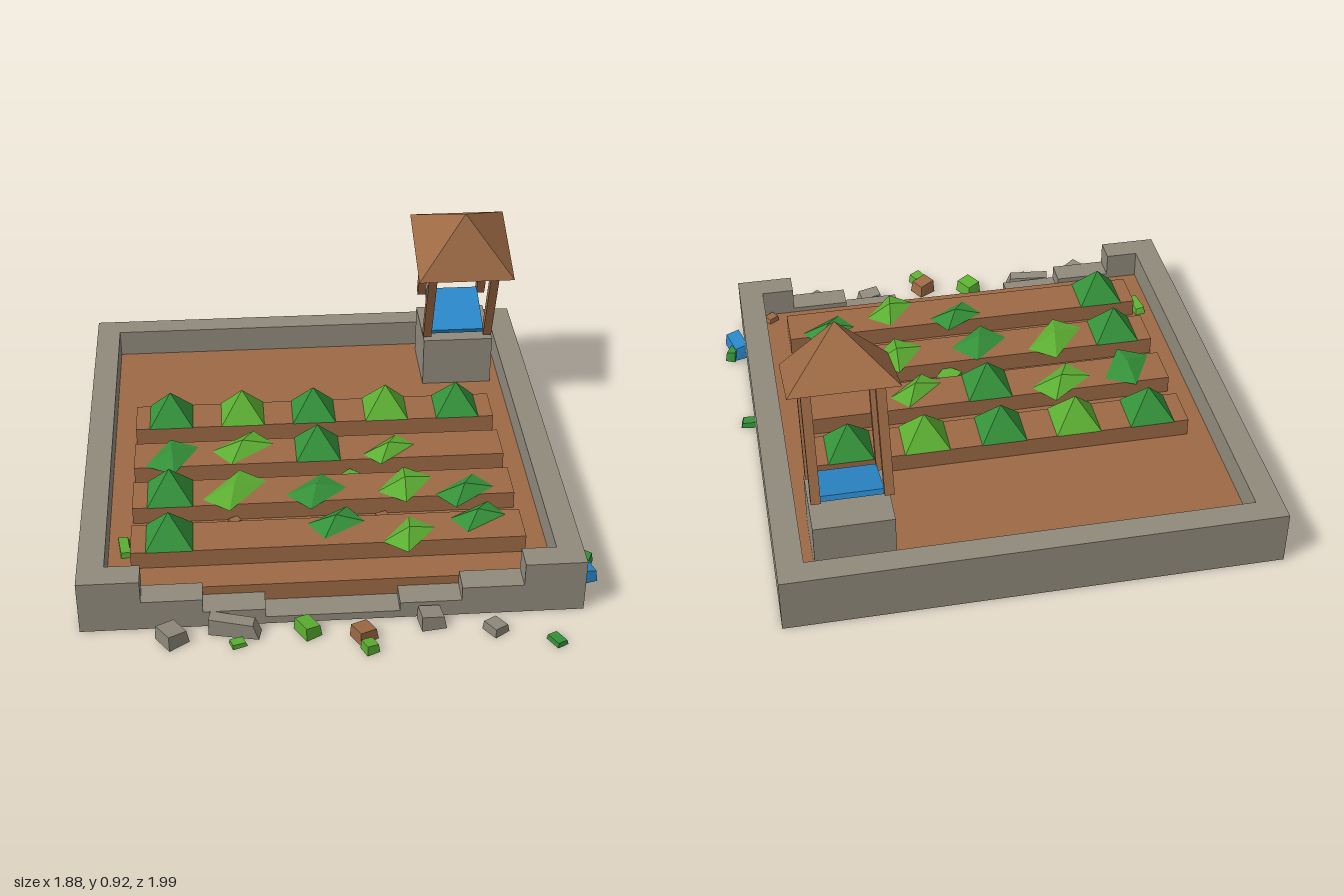
import * as THREE from 'three';

const mat = (name, color) => {
  const m = new THREE.MeshStandardMaterial({ color });
  m.name = name;
  return m;
};

export function createModel() {
  const stone = mat('stone', 0x908a7c);
  const brown = mat('earth brown', 0x9d6a45);
  const dark = mat('dark green', 0x35923a);
  const light = mat('light green', 0x5db033);
  const blue = mat('water blue', 0x2a87c8);
  const model = new THREE.Group();
  model.name = 'ruinedGarden';

  const add = (name, geo, material, parent = model) => {
    const flat = geo.index ? geo.toNonIndexed() : geo;
    flat.computeVertexNormals();
    const mesh = new THREE.Mesh(flat, material);
    mesh.name = name;
    parent.add(mesh);
    return mesh;
  };
  // Box given by its minimum and maximum on each axis
  const span = (name, x0, x1, y0, y1, z0, z1, material, parent) =>
    add(name, new THREE.BoxGeometry(x1 - x0, y1 - y0, z1 - z0)
      .translate((x0 + x1) / 2, (y0 + y1) / 2, (z0 + z1) / 2), material, parent);
  // Pyramid standing on its base
  const pyramid = (w, h, d) => new THREE.ConeGeometry(Math.SQRT1_2, 1, 4)
    .rotateY(Math.PI / 4).translate(0, 0.5, 0).scale(w, h, d);

  // Boundary walls
  span('backWall', -0.94, 0.85, 0, 0.21, -1, -0.91, stone);
  span('rightWall', -0.94, -0.845, 0, 0.21, -0.91, 0.69, stone);
  span('leftWall', 0.755, 0.85, 0, 0.21, -0.91, 0.69, stone);

  // Broken front wall, stepping down to the middle
  const steps = [[-0.94, 0.21], [-0.72, 0.12], [-0.505, 0.065], [-0.285, 0.03],
    [0.19, 0.065], [0.41, 0.12], [0.63, 0.21], [0.85, 0]];
  for (let i = 0; i < steps.length - 1; i++)
    span('frontWall', steps[i][0], steps[i + 1][0], 0, steps[i][1], 0.69, 0.785, stone);

  // Soil with its exposed front edge
  span('soil', -0.845, 0.755, 0.09, 0.1, -0.91, 0.69, brown);
  span('soilEdge', -0.845, 0.755, 0.002, 0.09, 0.682, 0.69, brown);

  // Planting beds
  const rows = [-0.3, -0.035, 0.222, 0.488];
  for (const z of rows) span('bed', -0.76, 0.67, 0.1, 0.17, z - 0.082, z + 0.082, brown);

  // Upright plants: x, z, colour
  const cols = [-0.62, -0.335, -0.05, 0.24, 0.525];
  const upright = cols.map((x, i) => [x, rows[0], i % 2 ? light : dark]);
  upright.push([cols[2], rows[1], dark], [cols[0], rows[2], dark], [cols[0], rows[3], dark]);
  for (const [x, z, m] of upright)
    add('plant', pyramid(0.17, 0.115, 0.17), m).position.set(x, 0.17, z);

  // Trampled plants: x, z, turn in degrees, length, width, colour
  const trampled = [
    [-0.615, -0.02, 62, 0.2, 0.125, dark], [-0.34, -0.065, 38, 0.21, 0.12, light],
    [0.227, -0.012, 42, 0.19, 0.095, light], [-0.378, 0.215, 52, 0.23, 0.125, light],
    [-0.072, 0.243, 42, 0.19, 0.13, dark], [0.265, 0.222, 54, 0.19, 0.125, light],
    [0.485, 0.277, 38, 0.2, 0.11, dark], [-0.012, 0.44, 32, 0.18, 0.11, dark],
    [0.247, 0.53, 52, 0.18, 0.11, light], [0.512, 0.44, 32, 0.18, 0.1, dark],
  ];
  for (const [x, z, a, l, w, m] of trampled) {
    const p = add('trampledPlant', pyramid(l, 0.035, w), m);
    p.position.set(x, 0.17, z);
    p.rotation.y = THREE.MathUtils.degToRad(a);
  }

  // Well: stone base with a tilted, roofed frame
  span('wellBase', 0.43, 0.715, 0.1, 0.31, -0.865, -0.585, stone);
  const well = new THREE.Group();
  well.name = 'wellFrame';
  well.position.set(0.57, 0.365, -0.725);
  well.rotation.x = THREE.MathUtils.degToRad(19.5);
  model.add(well);
  for (const sx of [-1, 1]) for (const sz of [-1, 1])
    add('wellPost', new THREE.BoxGeometry(0.034, 0.4, 0.034)
      .translate(sx * 0.125, 0.2, sz * 0.116), brown, well);
  span('wellWater', -0.11, 0.11, 0, 0.02, -0.116, 0.116, blue, well);
  add('wellRoof', pyramid(0.38, 0.19, 0.375), brown, well).position.y = 0.4;

  // Scattered rubble: x, base y, z, width, height, depth, turn in degrees, colour
  const rubble = [
    [-0.615, 0, 0.85, 0.085, 0.062, 0.09, 35, stone], [-0.395, 0, 0.825, 0.18, 0.068, 0.055, -12, stone],
    [0.3, 0, 0.825, 0.09, 0.062, 0.075, 8, stone], [0.52, 0, 0.875, 0.065, 0.038, 0.07, 35, stone],
    [-0.14, 0, 0.84, 0.065, 0.055, 0.085, 30, light], [0.055, 0, 0.88, 0.075, 0.055, 0.07, 30, brown],
    [-0.385, 0, 0.89, 0.055, 0.02, 0.04, 20, light], [0.07, 0, 0.95, 0.05, 0.042, 0.05, 25, light],
    [0.725, 0, 0.95, 0.045, 0.022, 0.065, 30, dark], [0.883, 0.008, 0.59, 0.06, 0.056, 0.13, 15, blue],
    [0.905, 0.008, 0.545, 0.04, 0.045, 0.06, -25, dark], [0.875, 0, 0.11, 0.055, 0.023, 0.045, -8, dark],
    [-0.785, 0.1, 0.455, 0.04, 0.025, 0.105, 8, light], [0.075, 0.1, 0.1, 0.08, 0.04, 0.085, 50, light],
    [-0.38, 0.1, 0.325, 0.045, 0.02, 0.035, 30, brown], [0.17, 0.1, 0.33, 0.05, 0.02, 0.03, 25, brown],
    [0.515, 0.1, 0.135, 0.05, 0.02, 0.03, 10, brown], [0.73, 0.1, 0.65, 0.045, 0.02, 0.04, 35, brown],
  ];
  for (const [x, y, z, w, h, d, a, m] of rubble) {
    // Shear and taper the upper face so each chunk looks broken
    const geo = new THREE.BoxGeometry(1, 1, 1).translate(0, 0.5, 0);
    const p = geo.attributes.position;
    for (let i = 0; i < p.count; i++) {
      if (p.getY(i) < 0.5) continue;
      p.setXYZ(i, p.getX(i) * 0.88 - 0.06, 0.92 - p.getX(i) * 0.16, p.getZ(i) * 0.88 + 0.04);
    }
    const chunk = add('rubble', geo.scale(w, h, d), m);
    chunk.position.set(x, y, z);
    chunk.rotation.y = THREE.MathUtils.degToRad(a);
  }
  return model;
}
